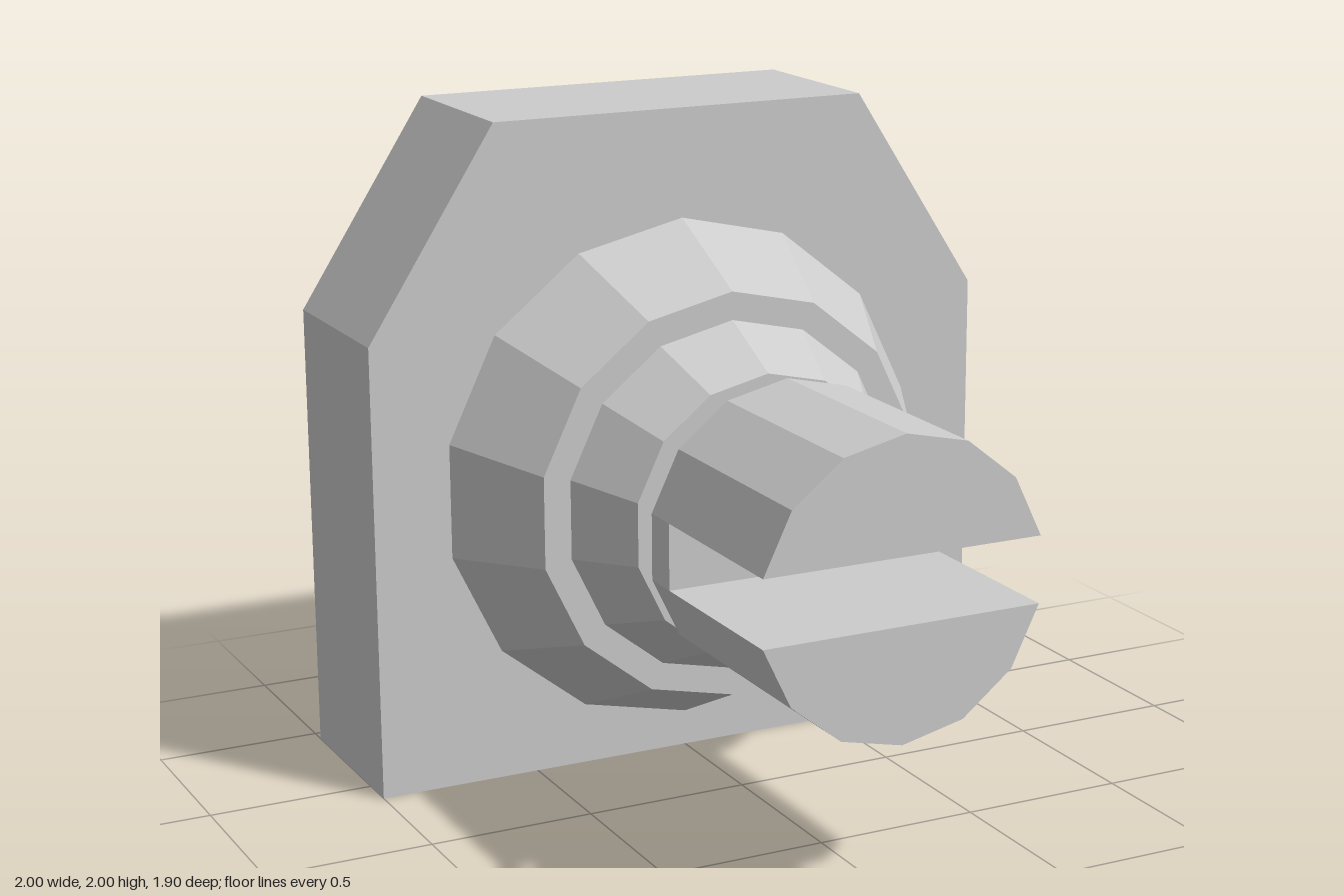
import * as THREE from 'three';

const SIDES = 14;
const AXIS_Y = 0.89;
const material = new THREE.MeshStandardMaterial({ color: 0xcccccc, flatShading: true });

function addMesh(group, name, geometry) {
  const mesh = new THREE.Mesh(geometry, material);
  mesh.name = name;
  group.add(mesh);
  return mesh;
}

// Faceted ring along z, from the back radius to the front radius
function addRing(group, name, backRadius, frontRadius, z0, z1) {
  const geometry = new THREE.CylinderGeometry(frontRadius, backRadius, z1 - z0, SIDES);
  geometry.rotateX(Math.PI / 2);
  addMesh(group, name, geometry).position.set(0, AXIS_Y, (z0 + z1) / 2);
}

// Flat outline pushed forward along z
function addPrism(group, name, points, z0, z1) {
  const shape = new THREE.Shape(points.map(([x, y]) => new THREE.Vector2(x, y)));
  const geometry = new THREE.ExtrudeGeometry(shape, { depth: z1 - z0, bevelEnabled: false });
  addMesh(group, name, geometry).position.z = z0;
}

export function createModel() {
  const model = new THREE.Group();
  model.name = 'slottedMount';

  // Back plate with two cut upper corners
  addPrism(model, 'backPlate',
    [[-1, 0], [1, 0], [1, 1.38], [0.6, 2], [-0.6, 2], [-1, 1.38]], -0.95, -0.39);

  // Stepped collar and neck
  addRing(model, 'outerCollar', 0.78, 0.62, -0.39, -0.06);
  addRing(model, 'innerCollar', 0.535, 0.425, -0.06, 0.165);
  addRing(model, 'neck', 0.325, 0.325, 0.165, 0.28);

  // Slotted shaft: two jaws, each half of the same polygon, joined by a web
  const radius = 0.437, step = (Math.PI * 2) / SIDES;
  for (const [name, side] of [['upperJaw', 1], ['lowerJaw', -1]]) {
    const points = [];
    for (let i = -3; i <= 3; i++) {
      points.push([radius * Math.sin(i * step), AXIS_Y + side * radius * Math.cos(i * step)]);
    }
    addPrism(model, name, points, 0.28, 0.95);
  }
  const webWidth = 2 * radius * Math.sin(3 * step);
  const webHeight = 2 * radius * Math.cos(3 * step);
  addMesh(model, 'slotWeb', new THREE.BoxGeometry(webWidth, webHeight, 0.11))
    .position.set(0, AXIS_Y, 0.335);

  return model;
}
